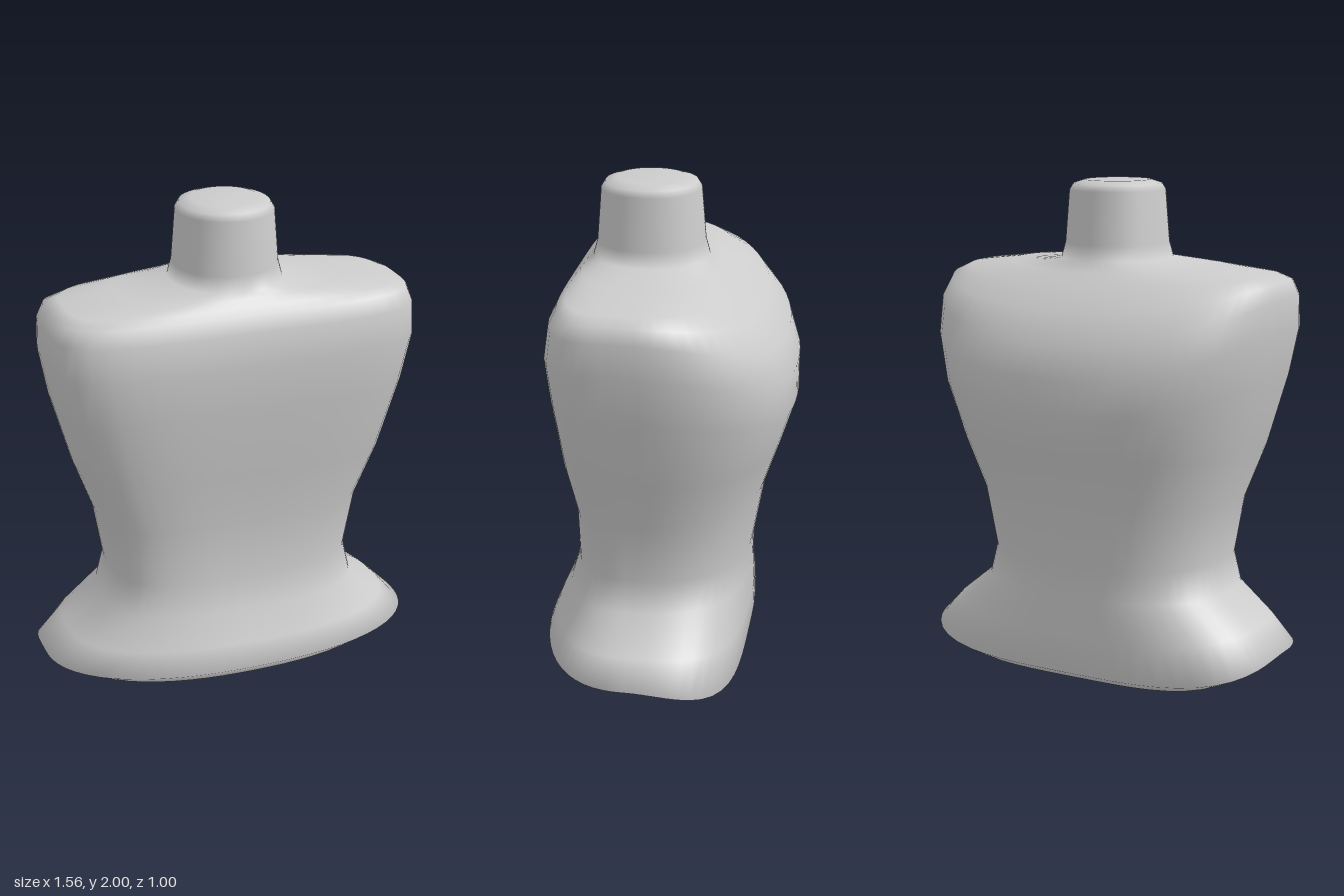
import * as THREE from 'three';

const SEG = 64;
const ZC = 0.09; // depth of the body axis

// Body rings from hem to collar:
// half width, front z, back z, height at front and sides, height at back, front squareness
const BODY = [
  [0.68, 0.45, -0.265, 0.095, 0.005, 2.3],
  [0.78, 0.50, -0.32, 0.145, 0.04, 2.3],
  [0.68, 0.46, -0.325, 0.24, 0.20, 2.5],
  [0.53, 0.405, -0.325, 0.36, 0.36, 2.8],
  [0.50, 0.365, -0.33, 0.49, 0.48, 3],
  [0.54, 0.36, -0.38, 0.73, 0.76, 3.4],
  [0.62, 0.395, -0.445, 0.95, 0.95, 3.8],
  [0.70, 0.425, -0.50, 1.24, 1.12, 4.2],
  [0.735, 0.44, -0.50, 1.43, 1.27, 4.5],
  [0.735, 0.42, -0.46, 1.56, 1.40, 4.5],
  [0.715, 0.39, -0.37, 1.62, 1.52, 4.5],
  [0.66, 0.365, -0.25, 1.645, 1.61, 4.2],
  [0.45, 0.34, -0.19, 1.672, 1.65, 2.8],
];

// Round neck: radius and height
const NECK = [[0.222, 1.69], [0.206, 1.75], [0.19, 1.96], [0.175, 1.985], [0.13, 2], [0, 2]];

// One closed cross-section; the back grows squarer towards the hem
function section([w, zf, zb, y, yb, nf, nb = 2.4 + 4 * Math.max(0, 0.4 - y)]) {
  return Array.from({ length: SEG }, (_, j) => {
    const t = (j / SEG) * Math.PI * 2;
    const c = Math.cos(t), s = Math.sin(t);
    const front = s >= 0;
    const n = front ? nf : nb;
    const r = Math.pow(Math.abs(c) ** n + Math.abs(s) ** n, -1 / n);
    const depth = front ? zf - ZC : ZC - zb;
    const drop = front ? 0 : (yb - y) * Math.min(1, (r * s) ** 2);
    return new THREE.Vector3(w * r * c, y + drop, ZC + depth * r * s);
  });
}

// Neck ring, slightly deeper than wide
const neckSection = ([r, y]) => section([r, ZC + r * 1.04, ZC - r * 1.04, y, y, 2.1, 2.1]);

// Skin a stack of closed cross-sections with smooth normals
function loft(sections) {
  const index = [];
  for (let i = 0; i < sections.length - 1; i++) {
    for (let j = 0; j < SEG; j++) {
      const a = i * SEG + j, b = i * SEG + ((j + 1) % SEG);
      index.push(a, a + SEG, b, b, a + SEG, b + SEG);
    }
  }
  const geometry = new THREE.BufferGeometry().setFromPoints(sections.flat());
  geometry.setIndex(index);
  geometry.computeVertexNormals();
  return geometry;
}

// Underside: shrinking copies of the hem, level in front and sloping down to the back
function undersideSections(hem) {
  const steps = 10;
  return Array.from({ length: steps + 1 }, (_, i) => {
    const k = i / steps;
    return hem.map((p) => {
      const z = ZC + (p.z - ZC) * k;
      const slope = 0.07 + z * (z > 0 ? 0.06 : 0.24);
      return new THREE.Vector3(p.x * k, THREE.MathUtils.lerp(slope, p.y, k ** 4), z);
    });
  });
}

export function createModel() {
  const group = new THREE.Group();
  group.name = 'torsoForm';
  const material = new THREE.MeshStandardMaterial({ color: 0xcccccc });
  const add = (name, geometry) => {
    const mesh = new THREE.Mesh(geometry, material);
    mesh.name = name;
    group.add(mesh);
  };

  // Flared hem, waist, chest, shoulders and neck in one skin
  const body = BODY.map((ring) => section(ring));
  add('torsoAndNeck', loft([...body, ...NECK.map(neckSection)]));

  // Closed base
  add('underside', loft(undersideSections(body[0])));

  return group;
}
